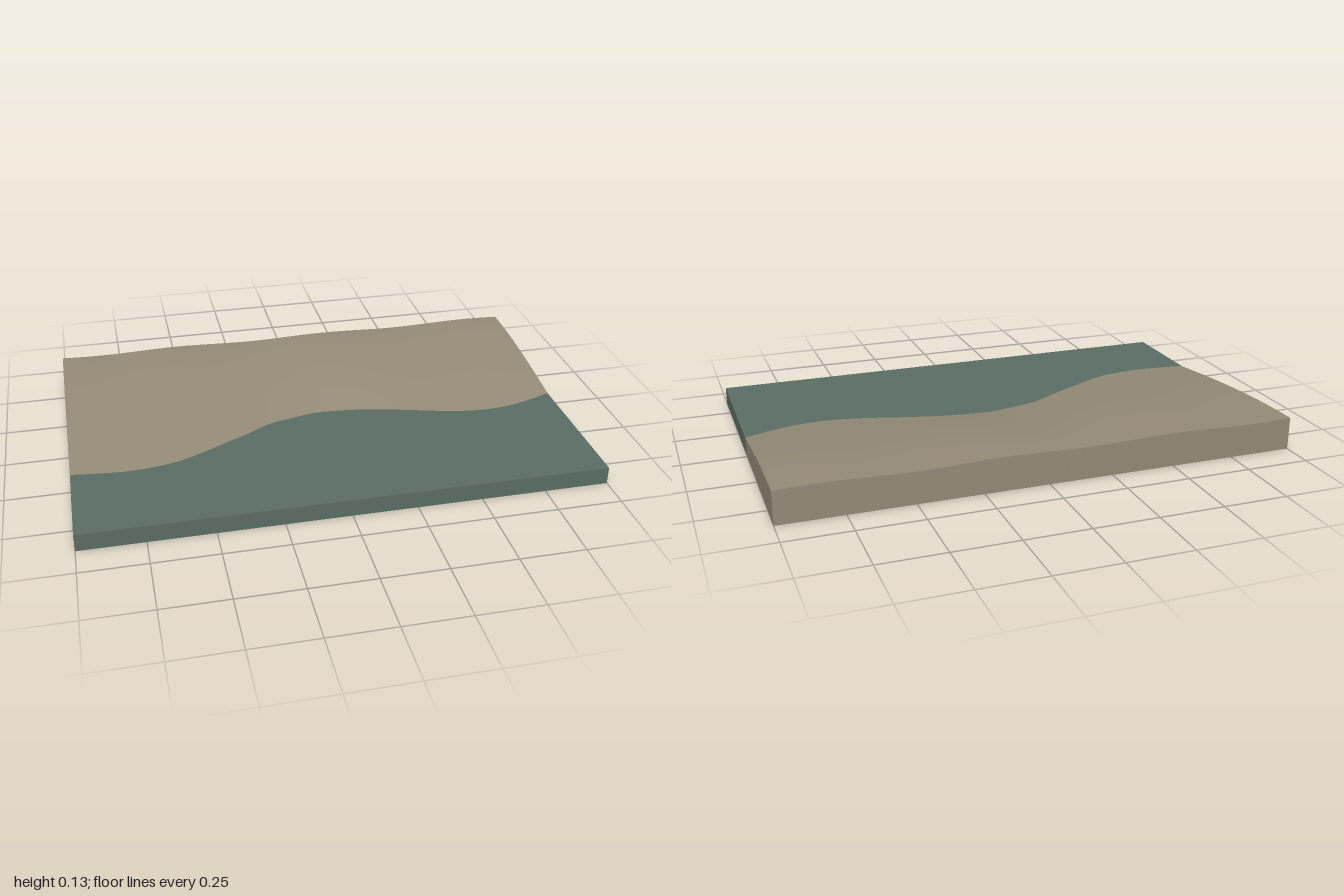
import * as THREE from 'three';

const BACK = -0.625, FRONT = 0.625, WATER = 0.069;
const { lerp } = THREE.MathUtils;

// Shoreline depth at even steps across the width
const shoreZ = [0.235, 0.248, 0.256, 0.25, 0.23, 0.188, 0.135, 0.083, 0.025, -0.002, -0.024,
  -0.02, -0.008, 0.015, 0.042, 0.07, 0.092, 0.1, 0.091, 0.062, 0.025];
const shoreline = new THREE.SplineCurve(shoreZ.map((z, i) => new THREE.Vector2(-1 + i * 0.1, z)));

// Point on the sand: t = 0 at the water's edge, 1 at the back edge
function sandPoint(u, t) {
  const s = shoreline.getPoint(u);
  const rise = 0.06 + 0.004 * Math.sin(3 * Math.PI * s.x);
  return [s.x, WATER + rise * Math.sin(t * Math.PI / 2), lerp(s.y, BACK, t)];
}

// Point on the water: t = 0 at the shore, 1 at the front edge
function waterPoint(u, t) {
  const s = shoreline.getPoint(u);
  return [s.x, WATER, lerp(s.y, FRONT, t)];
}

// Drops a wall from an edge point (v = 0) to the ground (v = 1)
const wall = ([x, y, z], v) => [x, y * (1 - v), z];

// Surface from a rule; u runs right and v down, seen from outside
function surface(nu, nv, rule) {
  const geo = new THREE.PlaneGeometry(1, 1, nu, nv);
  const pos = geo.attributes.position, uv = geo.attributes.uv;
  for (let i = 0; i < pos.count; i++) pos.setXYZ(i, ...rule(uv.getX(i), 1 - uv.getY(i)));
  geo.computeVertexNormals();
  return geo;
}

export function createModel() {
  const model = new THREE.Group();
  model.name = 'shoreTile';
  const sand = new THREE.MeshStandardMaterial({ color: 0x958c78 });
  sand.name = 'sand';
  const water = new THREE.MeshStandardMaterial({ color: 0x5a6e64 });
  water.name = 'water';

  const add = (name, material, nu, nv, rule) => {
    const mesh = new THREE.Mesh(surface(nu, nv, rule), material);
    mesh.name = name;
    model.add(mesh);
  };

  // Sloping beach with its back wall and underside
  add('beachTop', sand, 80, 20, (u, v) => sandPoint(u, 1 - v));
  add('beachBack', sand, 80, 1, (u, v) => wall(sandPoint(1 - u, 1), v));
  add('underside', sand, 1, 1, (u, v) => [2 * u - 1, 0, lerp(FRONT, BACK, v)]);

  // Flat water with its front wall
  add('waterTop', water, 80, 1, waterPoint);
  add('waterFront', water, 1, 1, (u, v) => wall([2 * u - 1, WATER, FRONT], v));

  // End walls, split at the shoreline
  add('beachLeftEnd', sand, 20, 1, (u, v) => wall(sandPoint(1, u), v));
  add('waterLeftEnd', water, 1, 1, (u, v) => wall(waterPoint(1, 1 - u), v));
  add('beachRightEnd', sand, 20, 1, (u, v) => wall(sandPoint(0, 1 - u), v));
  add('waterRightEnd', water, 1, 1, (u, v) => wall(waterPoint(0, u), v));
  return model;
}
